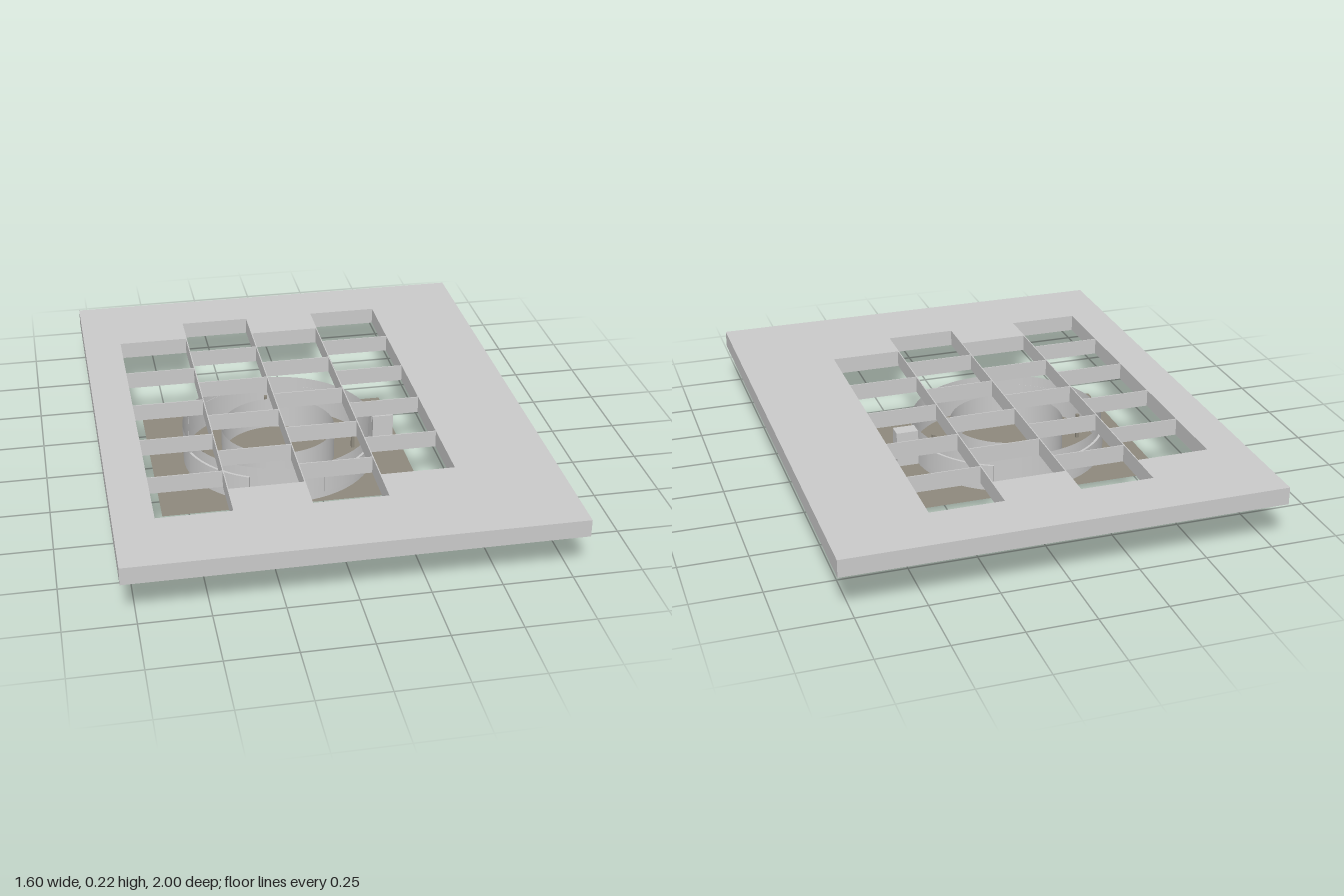
import * as THREE from 'three';

const CX = -0.11; // drum axis
const lightGrey = new THREE.MeshStandardMaterial({ color: 0xcacaca, side: THREE.DoubleSide });
lightGrey.name = 'light grey';
const olive = new THREE.MeshStandardMaterial({ color: 0x8e897d, side: THREE.DoubleSide });
olive.name = 'olive grey';

function add(group, name, geometry, material, x = 0, y = 0, z = 0) {
  const mesh = new THREE.Mesh(geometry, material);
  mesh.name = name;
  mesh.position.set(x, y, z);
  group.add(mesh);
  return mesh;
}

function rect(target, x0, y0, x1, y1) {
  target.moveTo(x0, y0);
  target.lineTo(x1, y0);
  target.lineTo(x1, y1);
  target.lineTo(x0, y1);
  target.closePath();
  return target;
}

// Open thin-walled tube standing on y0
function tube(group, name, r, y0, y1) {
  const geo = new THREE.CylinderGeometry(r, r, y1 - y0, 96, 1, true);
  return add(group, name, geo, lightGrey, CX, (y0 + y1) / 2, 0);
}

export function createModel() {
  const model = new THREE.Group();
  model.name = 'grillePlateWithDrum';

  // Plate with four staggered columns of square openings and thin ribs
  const plate = rect(new THREE.Shape(), -0.8, -1, 0.8, 1);
  const pitch = 0.273, rib = 0.002;
  for (let c = 0; c < 4; c++) {
    const x = -0.656 + c * pitch;
    const zStart = c % 2 ? -0.79 : -0.645;
    for (let r = 0; r < 5; r++) {
      const z = zStart + r * pitch;
      plate.holes.push(rect(new THREE.Path(),
        x + rib, -(z + pitch - rib), x + pitch - rib, -(z + rib)));
    }
  }
  const plateGeo = new THREE.ExtrudeGeometry(plate, { depth: 0.065, bevelEnabled: false });
  plateGeo.rotateX(-Math.PI / 2);
  add(model, 'grillePlate', plateGeo, lightGrey, 0, 0.16, 0);

  // Thin base sheet
  const sheet = new THREE.PlaneGeometry(0.975, 0.755).rotateX(-Math.PI / 2);
  add(model, 'baseSheet', sheet, olive, -0.1125, 0.014, -0.0025);

  // Drum walls, reaching just below the sheet
  tube(model, 'drumWall', 0.365, 0.003, 0.16);
  tube(model, 'innerRing', 0.217, 0, 0.14);

  // Four curved panels around the drum
  const a0 = THREE.MathUtils.degToRad(26), a1 = THREE.MathUtils.degToRad(72);
  const arc = new THREE.Shape();
  arc.absarc(0, 0, 0.374, a0, a1, false);
  arc.absarc(0, 0, 0.364, a1, a0, true);
  const panelGeo = new THREE.ExtrudeGeometry(arc, { depth: 0.08, bevelEnabled: false, curveSegments: 20 });
  panelGeo.rotateX(Math.PI / 2);
  for (let i = 0; i < 4; i++) {
    add(model, 'drumPanel', panelGeo, lightGrey, CX, 0.12, 0).rotation.y = i * Math.PI / 2;
  }

  // Small pins inside the drum
  for (let i = 0; i < 4; i++) {
    const a = i * Math.PI / 2;
    add(model, 'pin', new THREE.BoxGeometry(0.012, 0.1, 0.012), olive,
      CX + 0.295 * Math.cos(a), 0.064, 0.295 * Math.sin(a));
  }

  // Side lug on the drum
  add(model, 'sideLug', new THREE.BoxGeometry(0.085, 0.14, 0.055), lightGrey, 0.2955, 0.083, -0.002);

  return model;
}
